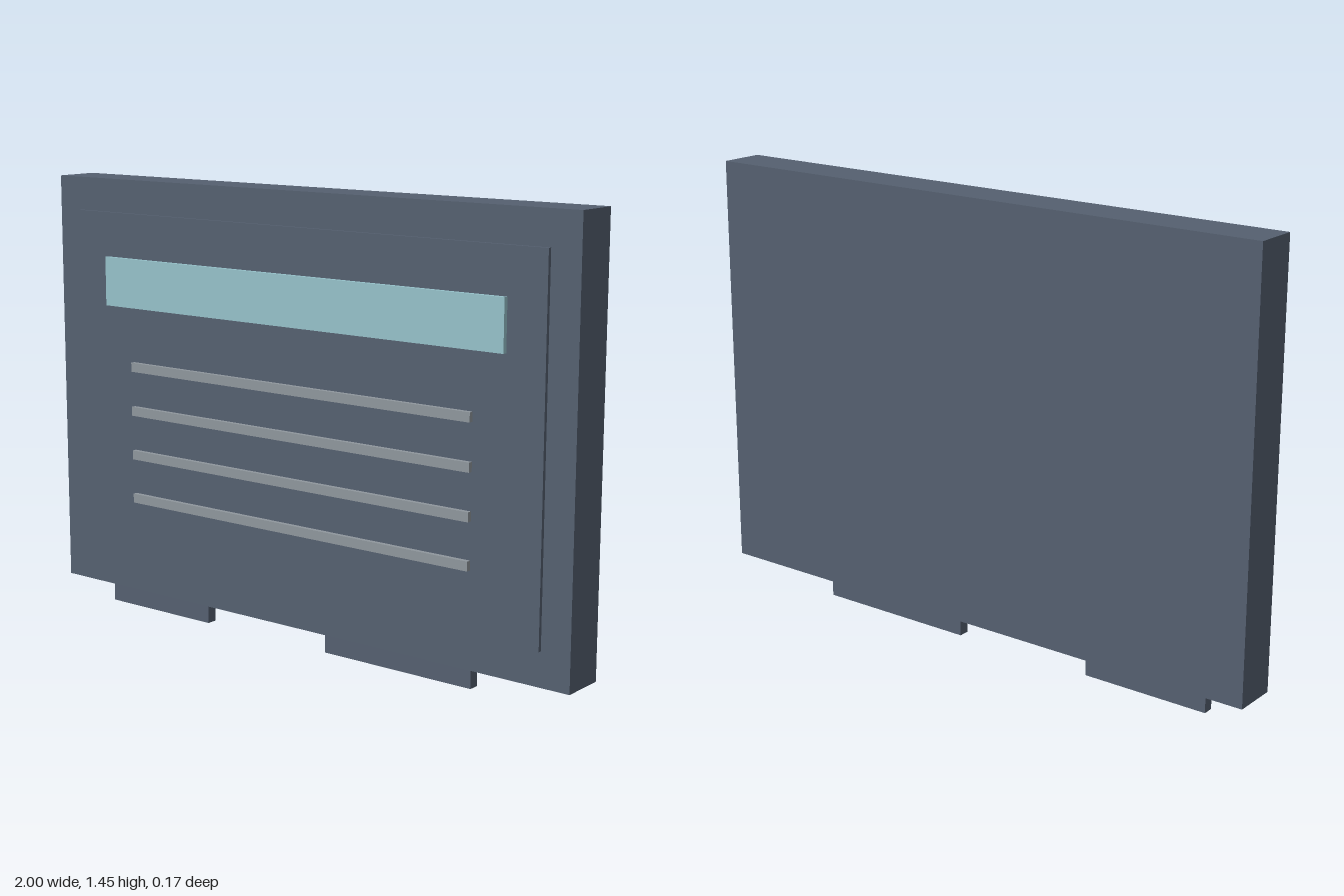
import * as THREE from 'three';

const material = (name, color) => {
  const m = new THREE.MeshStandardMaterial({ color });
  m.name = name;
  return m;
};

export function createModel() {
  const model = new THREE.Group();
  model.name = 'panelModule';
  const slate = material('slate', 0x556070);
  const aqua = material('paleAqua', 0x96c2ca);
  const grey = material('grey', 0x8f979d);

  // Box given by its extents along each axis
  const box = (name, mat, [x0, x1], [y0, y1], [z0, z1]) => {
    const mesh = new THREE.Mesh(new THREE.BoxGeometry(x1 - x0, y1 - y0, z1 - z0), mat);
    mesh.position.set((x0 + x1) / 2, (y0 + y1) / 2, (z0 + z1) / 2);
    mesh.name = name;
    model.add(mesh);
  };

  // Slab body with a slightly raised front plate
  box('body', slate, [-1, 1], [0.08, 1.453], [-0.087, 0.06]);
  box('frontPlate', slate, [-0.902, 0.902], [0.19, 1.345], [0.06, 0.072]);

  // Header strip and the four ribs beneath it
  box('headerStrip', aqua, [-0.775, 0.772], [1.04, 1.2], [0.072, 0.087]);
  for (let i = 0; i < 4; i++) {
    const y = 0.845 - i * 0.147;
    box('rib' + (i + 1), grey, [-0.667, 0.663], [y - 0.015, y + 0.015], [0.072, 0.087]);
  }

  // Edge tabs on the underside, of unequal width
  box('rightTab', slate, [-0.845, -0.415], [0, 0.08], [-0.031, 0.004]);
  box('leftTab', slate, [0.075, 0.627], [0, 0.08], [-0.031, 0.004]);

  return model;
}
